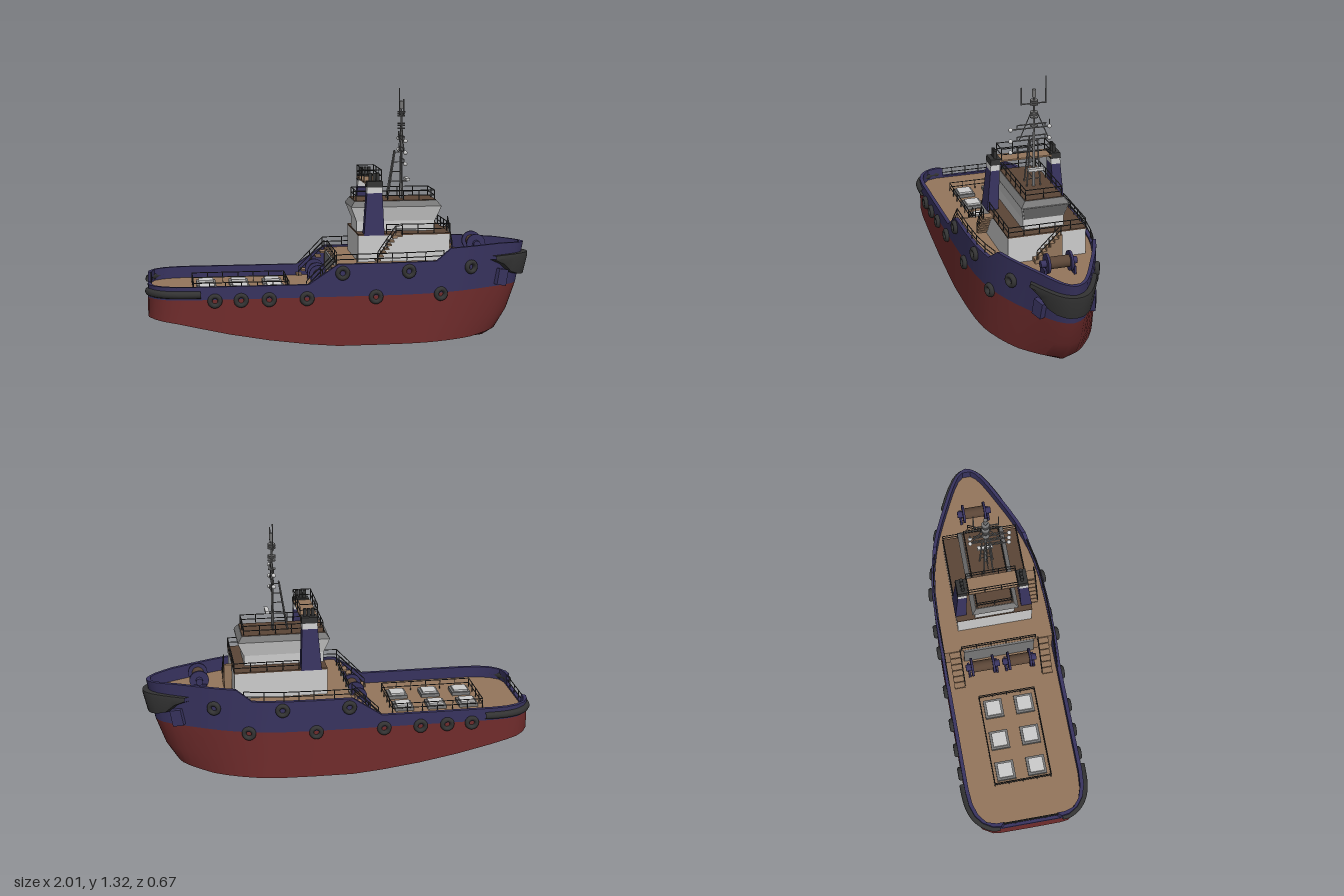
import * as THREE from 'three';
import { toCreasedNormals } from 'three/addons/utils/BufferGeometryUtils.js';

const mat = (color, side = THREE.FrontSide) => new THREE.MeshStandardMaterial({ color, side });
const RED = mat(0x702c2c, THREE.DoubleSide), NAVY = mat(0x38335f, THREE.DoubleSide), DECK = mat(0x94765c, THREE.DoubleSide);
const WHITE = mat(0xcccccc), BLACK = mat(0x333333, THREE.DoubleSide), GREY = mat(0x777777), ROOF = mat(0x5a4536), RAIL = mat(0x3c3c3c);
const V = (x, y, z) => new THREE.Vector3(x, y, z);

function lerp(table, x) {
  if (x <= table[0][0]) return table[0][1];
  for (let i = 1; i < table.length; i++) {
    const [a, p] = table[i - 1], [b, q] = table[i];
    if (x <= b) return p + (q - p) * (x - a) / (b - a || 1);
  }
  return table.at(-1)[1];
}

function add(parent, name, geo, material, x = 0, y = 0, z = 0) {
  const m = new THREE.Mesh(geo, material);
  m.name = name;
  m.position.set(x, y, z);
  parent.add(m);
  return m;
}

// skin over rows of points
function skin(parent, name, rows, material, crease = 0.6) {
  const n = rows[0].length, index = [], g = new THREE.BufferGeometry().setFromPoints(rows.flat());
  for (let i = 0; i < rows.length - 1; i++) for (let j = 0; j < n - 1; j++) {
    const a = i * n + j, c = a + n;
    index.push(a, a + 1, c + 1, a, c + 1, c);
  }
  g.setIndex(index);
  return add(parent, name, toCreasedNormals(g.toNonIndexed(), crease), material);
}

// stacked rectangles [y, x0, x1, z0, z1], closed on top
function stack(parent, name, rings, material) {
  const rows = rings.map(([y, a, b, c, d]) => [V(a, y, d), V(b, y, d), V(b, y, c), V(a, y, c), V(a, y, d)]);
  const [y, a, b, c, d] = rings.at(-1);
  rows.push(rows[0].map(() => V((a + b) / 2, y, (c + d) / 2)));
  return skin(parent, name, rows, material, 0.1);
}

const box = (p, name, m, x0, x1, y0, y1, z0, z1) =>
  add(p, name, new THREE.BoxGeometry(x1 - x0, y1 - y0, z1 - z0), m, (x0 + x1) / 2, (y0 + y1) / 2, (z0 + z1) / 2);

function bar(parent, name, a, b, r = 0.0025, material = RAIL, r2 = r) {
  const d = b.clone().sub(a);
  const m = add(parent, name, new THREE.CylinderGeometry(r2, r, d.length(), 8), material);
  m.position.copy(a).addScaledVector(d, 0.5);
  m.quaternion.setFromUnitVectors(V(0, 1, 0), d.normalize());
  return m;
}

// railing that follows a path of foot points
function railing(parent, name, path, h = 0.05) {
  const g = new THREE.Group();
  g.name = name;
  parent.add(g);
  const up = (p, k) => p.clone().setY(p.y + h * k);
  for (let i = 0; i < path.length - 1; i++) {
    const [a, b] = [path[i], path[i + 1]], n = Math.max(1, Math.round(a.distanceTo(b) / 0.085));
    for (const k of [0.5, 1]) bar(g, 'rail', up(a, k), up(b, k));
    for (let j = 0; j <= n; j++) {
      const p = a.clone().lerp(b, j / n);
      bar(g, 'post', p, up(p, 1));
    }
  }
}
const rect = (x0, x1, z, y) => [V(x0, y, z), V(x1, y, z), V(x1, y, -z), V(x0, y, -z), V(x0, y, z)];

// hull plan from stern centre to stem: [x, half width]
const PLAN = [[-1, 0], [-1, 0.155], [-1, 0.16], [-0.995, 0.2], [-0.965, 0.25], [-0.92, 0.285], [-0.86, 0.305], [-0.78, 0.312], [-0.6, 0.312],
  [-0.4, 0.312], [-0.2, 0.312], [-0.051, 0.312], [-0.049, 0.312], [0.15, 0.31], [0.3, 0.303], [0.4, 0.29], [0.46, 0.278], [0.54, 0.256],
  [0.62, 0.228], [0.7, 0.194], [0.78, 0.157], [0.85, 0.125], [0.9, 0.1], [0.95, 0.07], [0.98, 0.042], [0.995, 0.018], [1, 0]];
const SHEER = [[-0.2, 0.36], [-0.05, 0.46], [0.46, 0.46], [0.54, 0.52], [0.85, 0.52], [1, 0.51]];
const KEEL = [[-1, 0.19], [-0.95, 0.168], [-0.85, 0.15], [-0.5, 0.06], [-0.25, 0.018], [0, 0], [0.75, 0], [0.9, 0.008], [1, 0.03]];
const CHINE = [[-1, 0.195], [-0.85, 0.175], [-0.5, 0.095], [-0.1, 0.042], [0.7, 0.04], [1, 0.06]];
const width = x => lerp(PLAN.slice(3), x);
const rake = (x, r) => x > 0.4 ? x - r * ((x - 0.4) / 0.6) ** 2 : x;

// full hull outline; f gives a point from plan x and half width
function outline(f) {
  const half = PLAN.map(([x, w]) => f(x, w));
  return [...half, ...half.slice(0, -1).reverse().map(p => V(p.x, p.y, -p.z))];
}

function hull(root) {
  const sheerY = (x, w) => x === -1 && w < 0.158 ? 0.31 : lerp(SHEER, x);
  const deckY = x => x < -0.05 ? 0.3 : 0.45;
  const inner = (x, w, y) => V(rake(Math.max(-0.98, Math.min(x, 0.975)), 0.02), y, Math.max(0, w - 0.02));
  const water = outline((x, w) => V(rake(x, 0.06), 0.295, w));
  skin(root, 'lowerHull', [
    outline(x => V(rake(x, 0.2), lerp(KEEL, x), 0)),
    outline((x, w) => V(rake(x, 0.17), lerp(CHINE, x), w * (x > 0.4 ? 1 - 0.12 * (x - 0.4) / 0.6 : 1))),
    outline((x, w) => V(rake(x, 0.11), lerp(CHINE, x) * 0.6 + 0.118, w * (x > 0.4 ? 1 - 0.04 * (x - 0.4) / 0.6 : 1))),
    water], RED);
  const deckEdge = outline((x, w) => inner(x, w, deckY(x)));
  skin(root, 'upperHull', [water, outline((x, w) => V(rake(x, 0.02), sheerY(x, w), w)),
    outline((x, w) => inner(x, w, sheerY(x, w))), deckEdge], NAVY);
  skin(root, 'deck', [deckEdge, deckEdge.map(p => V(p.x, p.y, 0))], DECK, 0.1);
  box(root, 'deckBulkhead', GREY, -0.06, -0.048, 0.3, 0.448, -0.19, 0.19);

  // bow fender, deepest at the stem
  const bow = PLAN.filter(p => p[0] >= 0.78);
  const band = (out, r, yf) => {
    const half = bow.map(([x, w]) => V(rake(x, r) + out, yf(x), w + (w > 0 ? out * 0.6 : 0)));
    return [...half, ...half.slice(0, -1).reverse().map(p => V(p.x, p.y, -p.z))];
  };
  const low = x => lerp([[0.78, 0.44], [0.86, 0.405], [0.91, 0.355], [1, 0.34]], x);
  skin(root, 'bowFender', [band(-0.01, 0.05, low), band(0.022, 0.045, low), band(0.026, 0.026, () => 0.44),
    band(0.02, 0.02, () => 0.458), band(-0.01, 0.02, () => 0.458)], BLACK);

  for (const s of [1, -1]) {
    // stern quarter fender
    const path = PLAN.slice(2, 8).map(([x, w]) => V(x + 0.004, 0.322, s * (w + 0.004)));
    path.push(V(-0.74, 0.322, s * 0.316));
    add(root, 'sternFender', new THREE.TubeGeometry(new THREE.CatmullRomCurve3(path), 30, 0.019, 8), BLACK);
    // tyre fenders
    for (const [y, xs] of [[0.29, [-0.67, -0.54, -0.4, -0.21, 0.14, 0.48]], [0.415, [-0.03, 0.31, 0.65]]]) for (const x of xs) {
      const slope = (width(x + 0.02) - width(x - 0.02)) / 0.04, tyre = new THREE.Group();
      tyre.name = 'tyreFender';
      tyre.position.set(x, y, s * (width(x) + 0.006));
      tyre.rotation.y = -s * Math.atan(slope);
      add(tyre, 'tyre', new THREE.TorusGeometry(0.025, 0.012, 10, 24), BLACK).scale.z = 1.2;
      root.add(tyre);
    }
    // anchor pocket
    const anchor = box(root, 'anchor', NAVY, 0.8, 0.86, 0.3, 0.385, s * 0.135 - 0.015, s * 0.135 + 0.015);
    anchor.rotation.set(0, s * 0.42, -0.2);
    // side rails and deck stairs
    const edge = [V(-0.2, 0.31, s * 0.295), V(-0.06, 0.455, s * 0.295)];
    for (const x of [0.15, 0.3, 0.4, 0.5]) edge.push(V(x, 0.458, s * (width(x) - 0.012)));
    railing(root, 'sideRail', edge);
    railing(root, 'stairRail', [V(-0.2, 0.31, s * 0.21), V(-0.06, 0.45, s * 0.21)]);
    for (let i = 0; i < 6; i++)
      box(root, 'deckStep', DECK, -0.21 + i * 0.026, -0.18 + i * 0.026, 0.31 + i * 0.024, 0.32 + i * 0.024, s * 0.24 - 0.028, s * 0.24 + 0.028);
  }
  railing(root, 'sternRail', [V(-0.985, 0.305, 0.16), V(-0.985, 0.305, -0.16)]);
  railing(root, 'upperDeckRail', [V(-0.045, 0.45, 0.2), V(-0.045, 0.45, -0.2)]);
}

function winch(root, x, y, z) {
  const g = new THREE.Group();
  g.name = 'winch';
  g.position.set(x, y, z);
  const drum = (r, len, at, m) => { add(g, 'drum', new THREE.CylinderGeometry(r, r, len, 20), m, 0, 0, at).rotation.x = Math.PI / 2; };
  drum(0.03, 0.12, 0, ROOF);
  for (const s of [1, -1]) {
    drum(0.05, 0.012, s * 0.058, NAVY);
    drum(0.018, 0.03, s * 0.077, NAVY);
    box(g, 'winchFoot', NAVY, -0.035, 0.035, -0.06, -0.02, s * 0.075 - 0.006, s * 0.075 + 0.006);
  }
  root.add(g);
}

function superstructure(root) {
  box(root, 'deckhouse', WHITE, 0.065, 0.54, 0.44, 0.585, -0.2, 0.2);
  box(root, 'deckhouseRoof', ROOF, 0.065, 0.542, 0.585, 0.592, -0.202, 0.202);
  railing(root, 'deckhouseRail', [V(0.21, 0.59, 0.198), V(0.54, 0.59, 0.198), V(0.54, 0.59, -0.198), V(0.21, 0.59, -0.198)]);
  // wheelhouse flares upward to a dark sloping brow
  stack(root, 'wheelhouse', [[0.59, 0.07, 0.48, -0.105, 0.105], [0.645, 0.07, 0.48, -0.105, 0.105], [0.72, 0.04, 0.51, -0.122, 0.122]], WHITE);
  stack(root, 'frontWindow', [[0.648, 0.47, 0.485, -0.1, 0.1], [0.717, 0.49, 0.513, -0.116, 0.116]], GREY);
  stack(root, 'wheelhouseBrow', [[0.72, 0.04, 0.511, -0.122, 0.122], [0.748, 0.06, 0.49, -0.1, 0.1]], GREY);
  box(root, 'wheelhouseRoof', ROOF, 0.062, 0.488, 0.745, 0.751, -0.098, 0.098);
  railing(root, 'roofRail', rect(0.07, 0.48, 0.092, 0.75));

  // side stair with landing, and front stair
  for (let i = 0; i < 7; i++) {
    box(root, 'sideStep', DECK, 0.15 + i * 0.014, 0.175 + i * 0.014, 0.46 + i * 0.019, 0.468 + i * 0.019, 0.2, 0.25);
    box(root, 'frontStep', DECK, 0.542, 0.582, 0.45, 0.472 + i * 0.019, 0.055 - i * 0.02, 0.075 - i * 0.02);
  }
  box(root, 'stairLanding', DECK, 0.235, 0.285, 0.583, 0.592, 0.2, 0.25);
  railing(root, 'sideStairRail', [V(0.16, 0.46, 0.25), V(0.25, 0.59, 0.25), V(0.285, 0.59, 0.25)]);
  railing(root, 'frontStairRail', [V(0.582, 0.47, 0.065), V(0.582, 0.59, -0.055)]);

  // funnels and the bridge between them
  for (const s of [1, -1]) {
    const leg = (name, y0, y1, m, grow = 0) => stack(root, name, [y0, y1].map(y => {
      const t = (y - 0.59) / 0.25, c = s * (0.176 - 0.018 * t), hz = 0.029 - 0.006 * t + grow;
      return [y, 0.095 + 0.02 * t - grow, 0.2 - 0.01 * t + grow, c - hz, c + hz];
    }), m);
    leg('funnel', 0.585, 0.8, NAVY);
    leg('funnelBand', 0.8, 0.83, WHITE, 0.001);
    leg('funnelCap', 0.83, 0.86, BLACK, 0.004);
    for (const x of [0.133, 0.153, 0.173])
      add(root, 'exhaustPipe', new THREE.CylinderGeometry(0.009, 0.009, 0.05, 12), BLACK, x, 0.875, s * 0.154);
  }
  box(root, 'funnelBridge', DECK, 0.105, 0.195, 0.845, 0.853, -0.135, 0.135);
  railing(root, 'bridgeRail', rect(0.105, 0.195, 0.128, 0.853), 0.06);
}

function mast(root) {
  const g = new THREE.Group(), X = 0.32;
  g.name = 'mast';
  root.add(g);
  const spar = (y, z0, z1) => bar(g, 'spar', V(X, y, z0), V(X, y, z1), 0.0035, GREY);
  bar(g, 'mastPole', V(X, 0.75, 0), V(X, 1.22, 0), 0.008, GREY, 0.004);
  for (const s of [1, -1]) {
    bar(g, 'mastLeg', V(X, 0.75, s * 0.035), V(X, 1.0, s * 0.018), 0.004, GREY);
    bar(g, 'mastStrut', V(0.245, 0.75, s * 0.025), V(0.285, 1.0, s * 0.012), 0.004, GREY);
    bar(g, 'mastStay', V(X, 1.0, s * 0.075), V(X, 1.14, s * 0.015), 0.0025, GREY);
  }
  for (let y = 0.79; y < 1.01; y += 0.05) {
    bar(g, 'rung', V(X, y, 0.03), V(X, y, -0.03), 0.0025, GREY);
    bar(g, 'brace', V(0.245 + (y - 0.75) * 0.16, y, 0), V(X, y, 0), 0.0025, GREY);
  }
  // yards carrying lamps
  for (const [y, z0, z1] of [[1.058, -0.08, 0.12], [0.998, -0.08, 0.12], [0.94, 0, 0.12]]) {
    spar(y, z0, z1);
    spar(y + 0.02, z0 * 0.8, z1 * 0.7);
    for (const z of z0 ? [z0, z1] : [z1]) {
      add(g, 'lamp', new THREE.SphereGeometry(0.011, 12, 8), WHITE, X, y, z);
      bar(g, 'lampPost', V(X, y, z * 0.72), V(X, y + 0.02, z * 0.72), 0.0025, GREY);
    }
  }
  bar(g, 'lampPost', V(X, 1.058, -0.08), V(X, 1.095, -0.08), 0.003, GREY);
  add(g, 'radar', new THREE.BoxGeometry(0.02, 0.014, 0.08), WHITE, X + 0.03, 0.85, 0);
  bar(g, 'radarArm', V(X, 0.84, 0), V(X + 0.035, 0.84, 0), 0.004, GREY);
  for (const y of [1.07, 1.115, 1.13, 1.14, 1.18, 1.19, 1.2])
    add(g, 'mastDisc', new THREE.CylinderGeometry(0.02, 0.02, 0.006, 16), GREY, X, y, 0);
  // top aerials
  spar(1.185, -0.06, 0.065);
  bar(g, 'aerial', V(X, 1.18, 0.065), V(X, 1.27, 0.065), 0.003, GREY);
  bar(g, 'aerial', V(X, 1.18, -0.06), V(X, 1.32, -0.06), 0.003, GREY);
  add(g, 'topLamp', new THREE.CylinderGeometry(0.01, 0.01, 0.04, 12), GREY, X, 1.237, 0);
}

export function createModel() {
  const root = new THREE.Group();
  root.name = 'tugboat';
  hull(root);
  for (const z of [0.1, -0.1]) winch(root, -0.12, 0.36, z);
  winch(root, 0.71, 0.51, 0);
  // cargo hatches inside a low rail
  for (const x of [-0.7, -0.53, -0.355]) for (const z of [0.083, -0.083]) {
    box(root, 'hatch', GREY, x - 0.05, x + 0.05, 0.3, 0.318, z - 0.05, z + 0.05);
    box(root, 'hatchLid', WHITE, x - 0.038, x + 0.038, 0.318, 0.328, z - 0.038, z + 0.038);
  }
  railing(root, 'hatchRail', rect(-0.77, -0.285, 0.15, 0.3));
  superstructure(root);
  mast(root);
  return root;
}
